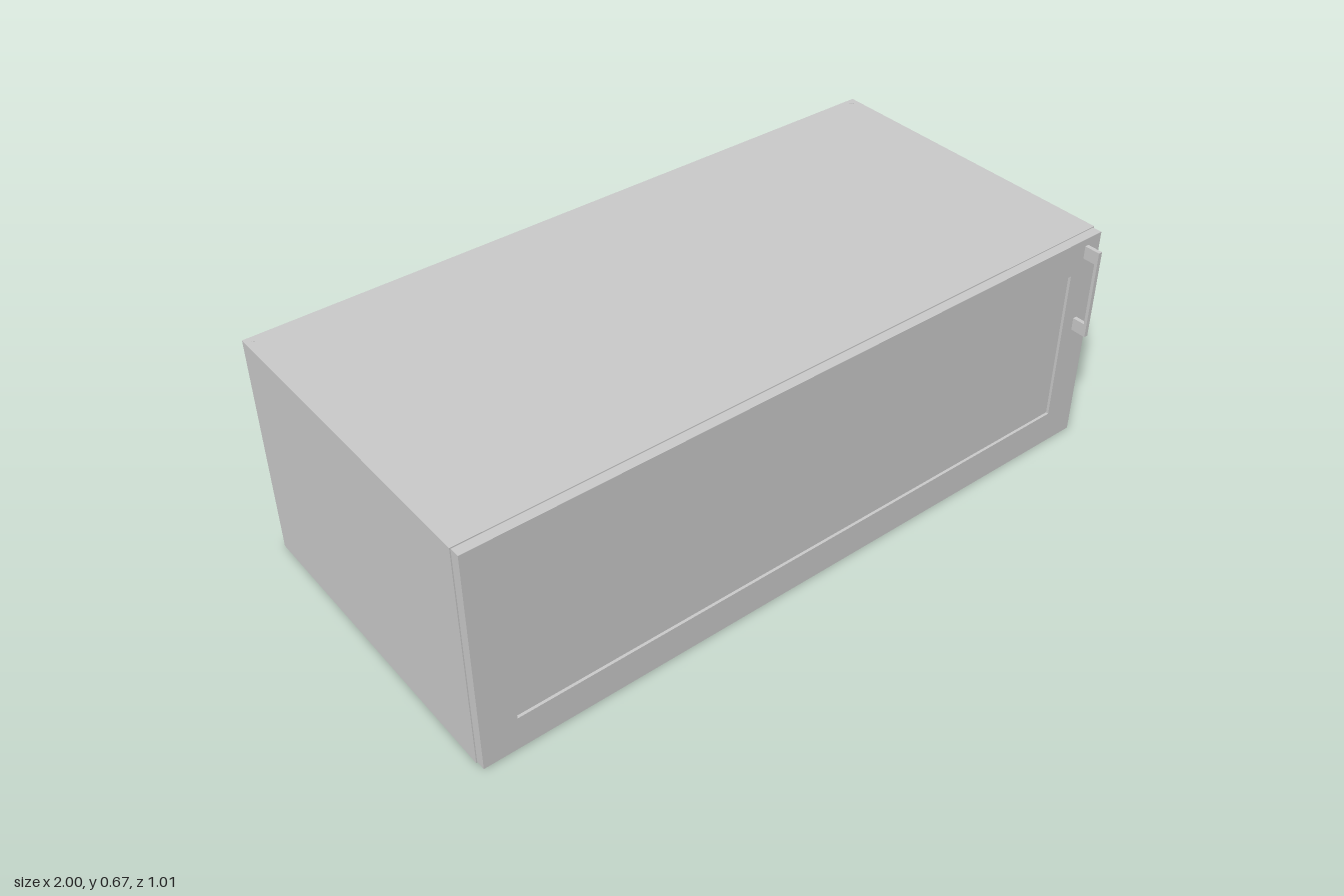
import * as THREE from 'three';

const material = new THREE.MeshStandardMaterial({ color: 0xcccccc });

export function createModel() {
  const cabinet = new THREE.Group();
  cabinet.name = 'cabinet';

  const add = (name, geometry) => {
    const mesh = new THREE.Mesh(geometry, material);
    mesh.name = name;
    cabinet.add(mesh);
    return mesh;
  };

  // Box given by its extents on each axis
  const panel = (name, [x0, x1], [y0, y1], [z0, z1]) => {
    const mesh = add(name, new THREE.BoxGeometry(x1 - x0, y1 - y0, z1 - z0));
    mesh.position.set((x0 + x1) / 2, (y0 + y1) / 2, (z0 + z1) / 2);
  };

  const rectangle = (Type, x, y) => new Type([
    new THREE.Vector2(-x, -y), new THREE.Vector2(x, -y),
    new THREE.Vector2(x, y), new THREE.Vector2(-x, y),
  ]);

  const H = 0.668, T = 0.025, BACK = -0.503, FRONT = 0.433;

  // Carcass sides and floor
  panel('leftSide', [1 - T, 1], [0, H], [BACK, FRONT]);
  panel('rightSide', [-1, T - 1], [0, H], [BACK, FRONT]);
  panel('floor', [T - 1, 1 - T], [0, T], [BACK, FRONT]);
  panel('backPanel', [-0.997, 0.997], [0.003, H - 0.004], [-0.507, BACK]);

  // Top between the sides
  panel('top', [T - 1, 1 - T], [H - T, H], [BACK, FRONT]);

  // Small fixing plugs at the rear corners
  for (const side of [-1, 1]) {
    const plug = add('fixingPlug', new THREE.CylinderGeometry(0.007, 0.007, 0.004, 16));
    plug.position.set(side * 0.979, H - 0.0015, -0.487);
  }

  // Door: a frame around a slightly recessed centre
  const doorX = 0.997, doorY = 0.331, rail = 0.1;
  const frame = rectangle(THREE.Shape, doorX, doorY);
  frame.holes.push(rectangle(THREE.Path, doorX - rail, doorY - rail));
  const door = add('doorFrame', new THREE.ExtrudeGeometry(frame, { depth: 0.028, bevelEnabled: false }));
  door.position.set(0, H / 2, FRONT);
  panel('doorPanel', [rail - doorX, doorX - rail],
    [H / 2 - doorY + rail, H / 2 + doorY - rail], [FRONT, 0.453]);

  // Bracket handle, drawn as depth against height and extruded across its width
  const profile = [
    [0.461, 0.375], [0.507, 0.375], [0.507, 0.643], [0.461, 0.643],
    [0.461, 0.605], [0.498, 0.605], [0.498, 0.413], [0.461, 0.413],
  ].map(([z, y]) => new THREE.Vector2(-z, y));
  const handle = add('handle', new THREE.ExtrudeGeometry(new THREE.Shape(profile),
    { depth: 0.012, bevelEnabled: false }));
  handle.rotation.y = Math.PI / 2;
  handle.position.x = 0.938;

  return cabinet;
}
